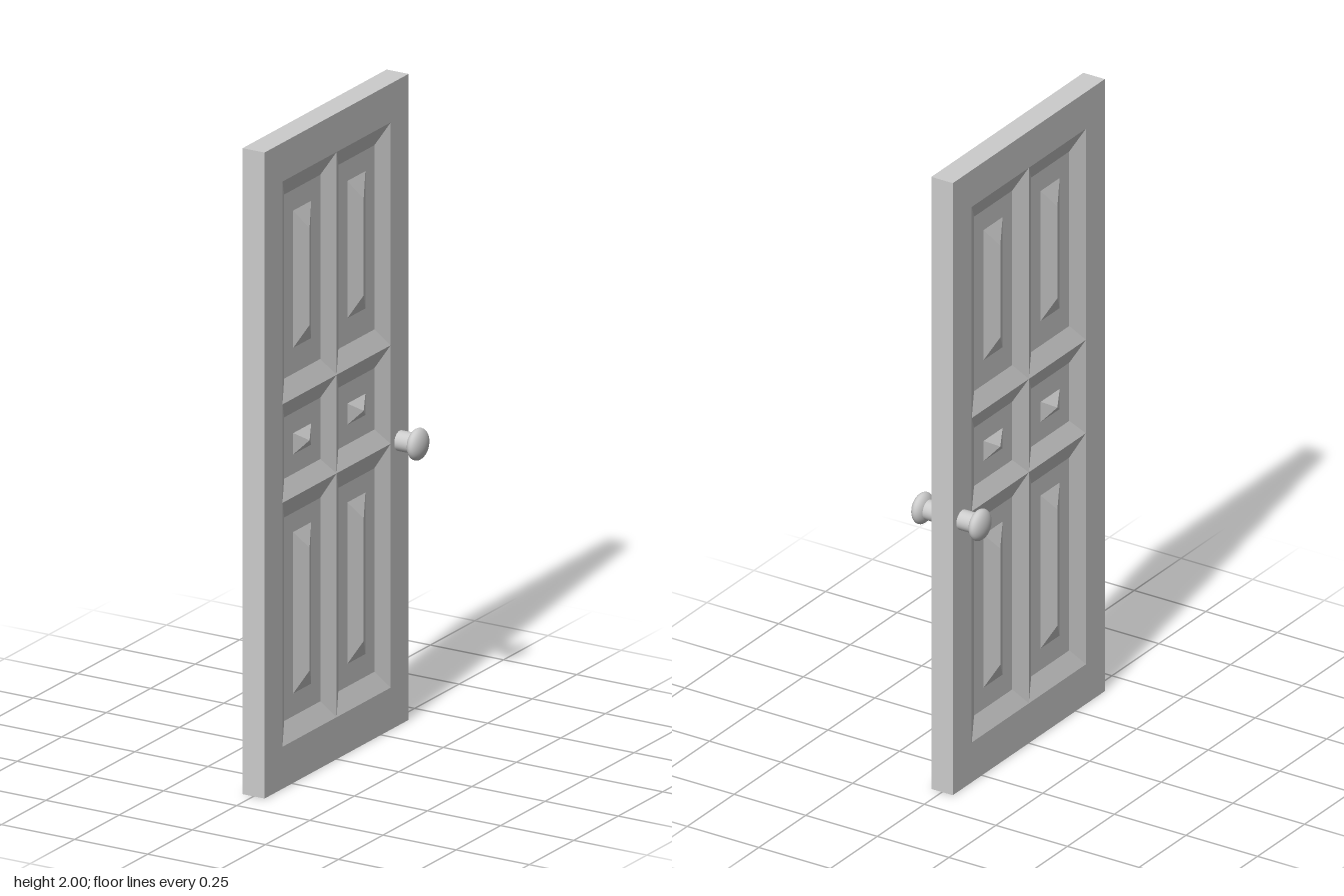
import * as THREE from 'three';

const HALF_X = 0.0375, HALF_Z = 0.405, HEIGHT = 2, DEPTH = 0.025, STEP = 0.0507;

// Grid lines of the panelled faces
const half = [1, 2, 3, 4, 5, 6].map((k) => k * STEP).concat(HALF_Z);
const zs = [...half.map((z) => -z).reverse(), 0, ...half];
const ys = [0, 0.13, 0.19, 0.26, 0.32, 0.7, 0.76, 0.82, 0.885, 0.94, 1.0, 1.033, 1.066,
  1.13, 1.19, 1.25, 1.33, 1.39, 1.69, 1.755, 1.82, 1.88, HEIGHT];

// Sunk floors, and the raised ridge inside each one: [from, to] in y
const floors = [[0.19, 0.82], [0.94, 1.13], [1.25, 1.82]];
const ridges = [[0.32, 0.7], [1.033, 1.033], [1.39, 1.69]];
const within = (ranges, y) => ranges.some(([a, b]) => y > a - 1e-4 && y < b + 1e-4);

function surfaceX(z, y) {
  const column = Math.round(Math.abs(z) / STEP);
  const sunk = column >= 1 && column <= 5 && within(floors, y);
  const ridge = column === 3 && within(ridges, y);
  return sunk && !ridge ? HALF_X - DEPTH : HALF_X;
}

// One panelled face; side is +1 or -1 along x
function panelFace(side) {
  const pos = [];
  const tri = (...p) => (side > 0 ? p : p.reverse()).forEach((v) => pos.push(v[0] * side, v[1], v[2]));
  for (let i = 0; i < zs.length - 1; i++) {
    for (let j = 0; j < ys.length - 1; j++) {
      const [a, d, c, b] = [[i, j], [i, j + 1], [i + 1, j + 1], [i + 1, j]]
        .map(([m, n]) => [surfaceX(zs[m], ys[n]), ys[n], zs[m]]);
      // split along the mitre of a corner cell
      if (a[0] !== c[0] && b[0] === d[0]) { tri(a, d, c); tri(a, c, b); }
      else { tri(a, d, b); tri(d, c, b); }
    }
  }
  const geo = new THREE.BufferGeometry();
  geo.setAttribute('position', new THREE.Float32BufferAttribute(pos, 3));
  geo.computeVertexNormals();
  return geo;
}

export function createModel() {
  const group = new THREE.Group();
  const flat = new THREE.MeshStandardMaterial({ color: 0xcccccc, flatShading: true });
  const smooth = new THREE.MeshStandardMaterial({ color: 0xcccccc });

  const add = (name, geo, mat, parent = group) => {
    const mesh = new THREE.Mesh(geo, mat);
    mesh.name = name;
    parent.add(mesh);
    return mesh;
  };

  // Narrow edges around the door leaf
  const rim = new THREE.Group();
  rim.name = 'doorEdges';
  group.add(rim);
  for (const s of [1, -1]) {
    const upright = add('sideEdge', new THREE.PlaneGeometry(2 * HALF_X, HEIGHT), flat, rim);
    upright.position.set(0, HEIGHT / 2, s * HALF_Z);
    upright.rotation.y = s > 0 ? 0 : Math.PI;
    const level = add(s > 0 ? 'topEdge' : 'bottomEdge', new THREE.PlaneGeometry(2 * HALF_X, 2 * HALF_Z), flat, rim);
    level.position.y = s > 0 ? HEIGHT : 0;
    level.rotation.x = -s * Math.PI / 2;
  }

  for (const side of [1, -1]) {
    const label = side > 0 ? 'left' : 'right';
    add(label + 'PanelFace', panelFace(side), flat);

    // Door knob: round shaft with a flattened ball
    const knob = new THREE.Group();
    knob.name = label + 'Knob';
    knob.position.set(0, 0.88, -0.355);
    group.add(knob);
    const shaft = add('knobShaft', new THREE.CylinderGeometry(0.031, 0.031, 0.07, 32), smooth, knob);
    shaft.rotation.z = Math.PI / 2;
    shaft.position.x = side * 0.065;
    const ballGeo = new THREE.SphereGeometry(0.049, 32, 20).rotateZ(Math.PI / 2).scale(0.51, 1, 1);
    add('knobBall', ballGeo, smooth, knob).position.x = side * 0.1;
  }
  return group;
}
